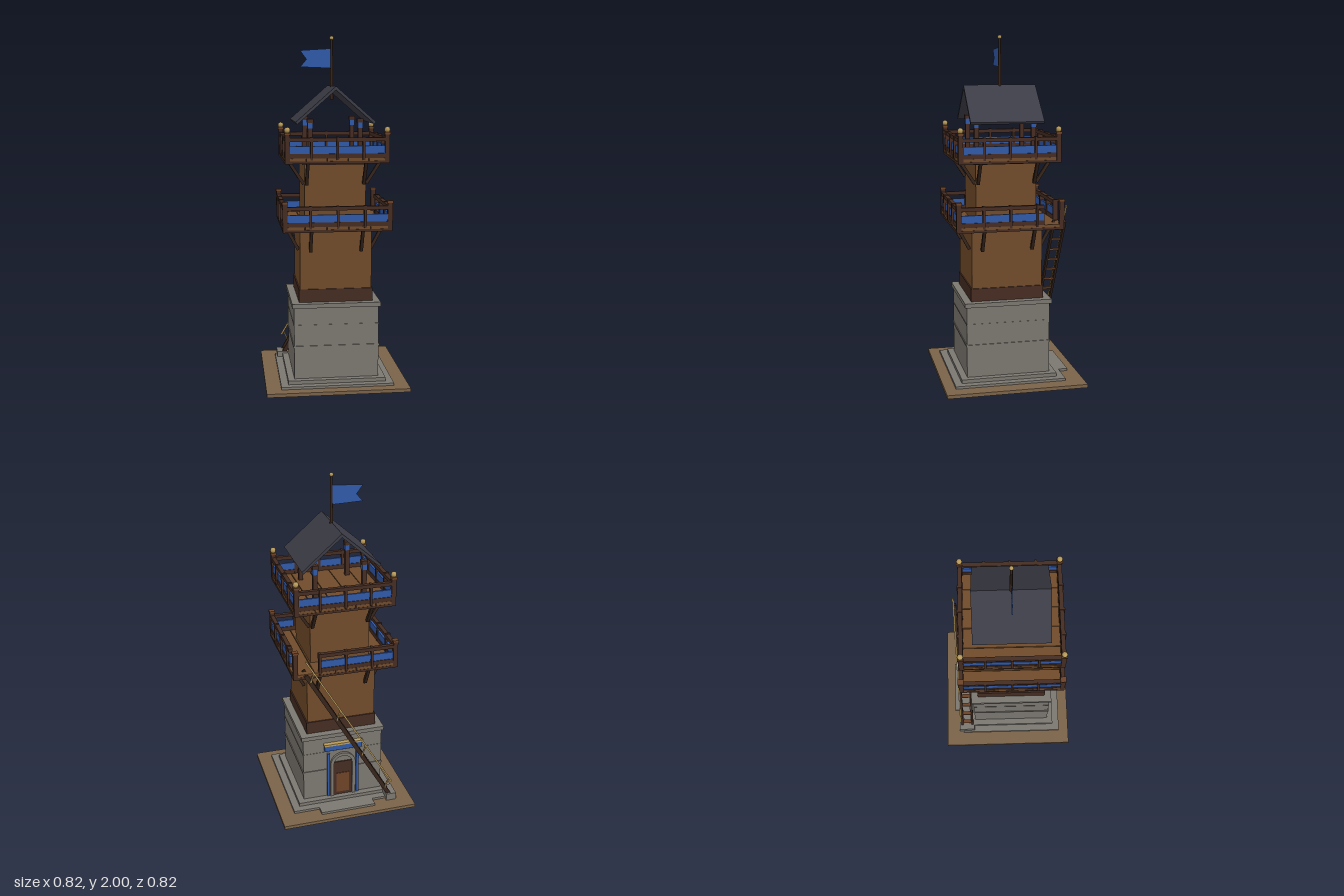
import * as THREE from 'three';

const mat = (name, color) => {
  const m = new THREE.MeshStandardMaterial({ color });
  m.name = name;
  return m;
};

export function createModel() {
  const earth = mat('earth', 0x7a6248), stone = mat('stone', 0x7b7770);
  const wall = mat('wallWood', 0x704b2a), dark = mat('darkWood', 0x452c22);
  const strutWood = mat('strutWood', 0x36241b), capWood = mat('capWood', 0x6d4328);
  const blue = mat('bluePaint', 0x3059a8), gold = mat('gold', 0xb89a5a);
  const slate = mat('slate', 0x3c3c47);

  const model = new THREE.Group();
  const tower = new THREE.Group();
  tower.name = 'tower';
  tower.position.z = 0.023;
  model.add(tower);

  const add = (parent, name, geo, m, x = 0, y = 0, z = 0) => {
    const o = new THREE.Mesh(geo, m);
    o.name = name;
    o.position.set(x, y, z);
    parent.add(o);
    return o;
  };
  // box given by its centre in x and z and its bottom and top in y
  const box = (parent, name, m, w, y0, y1, d, x = 0, z = 0) =>
    add(parent, name, new THREE.BoxGeometry(w, y1 - y0, d), m, x, (y0 + y1) / 2, z);
  // square bar running from a to b
  const beam = (parent, name, m, a, b, w, h = w) => {
    const p = new THREE.Vector3(...a), q = new THREE.Vector3(...b);
    const o = add(parent, name, new THREE.BoxGeometry(w, h, p.distanceTo(q)), m);
    o.position.copy(p).lerp(q, 0.5);
    const dir = q.clone().sub(p).normalize();
    o.lookAt(o.position.clone().add(dir));
    return o;
  };
  // four copies of a side, local +z facing outwards
  const fourSides = (name, build) => {
    for (let k = 0; k < 4; k++) {
      const g = new THREE.Group();
      g.name = name;
      build(g, k);
      g.rotation.y = k * Math.PI / 2;
      tower.add(g);
    }
  };

  // ground and stone base
  box(model, 'ground', earth, 0.817, 0, 0.02, 0.817);
  box(tower, 'lowerPlinth', stone, 0.645, 0.02, 0.034, 0.645);
  box(tower, 'upperPlinth', stone, 0.56, 0.034, 0.055, 0.56);
  box(tower, 'stoneWall', stone, 0.486, 0.055, 0.475, 0.486);
  box(tower, 'stoneBand', stone, 0.496, 0.238, 0.248, 0.496);
  box(tower, 'stoneBandUpper', stone, 0.49, 0.365, 0.371, 0.49);
  box(tower, 'stoneCap', stone, 0.508, 0.47, 0.495, 0.508);
  box(model, 'doorStep', stone, 0.334, 0.02, 0.034, 0.06, 0, -0.325);
  box(model, 'ladderFoot', stone, 0.062, 0.02, 0.065, 0.1, -0.281, -0.275);

  // timber storeys
  box(tower, 'sillBand', dark, 0.424, 0.495, 0.57, 0.424);
  box(tower, 'lowerStorey', wall, 0.41, 0.57, 0.92, 0.41);
  box(tower, 'upperStorey', wall, 0.35, 0.92, 1.3, 0.35);

  // galleries: deck, railings, corner posts and struts
  const gallery = (y, half, wallHalf, strutX, finials, openings) => {
    const h = half - 0.013;
    box(tower, 'deckFrame', dark, half * 2, y, y + 0.014, half * 2);
    const pw = half * 2 / 5;
    for (let i = -2; i <= 2; i++)
      box(tower, 'deckPlank', wall, pw - 0.004, y + 0.014, y + 0.03, half * 2 - 0.004, i * pw);

    fourSides('gallerySide', (g, k) => {
      const [a, b] = openings[k] || [-h, h];
      const len = b - a, mid = (a + b) / 2;
      box(g, 'kickBoard', dark, len, y + 0.028, y + 0.055, 0.02, mid, h);
      box(g, 'bluePanel', blue, len, y + 0.055, y + 0.097, 0.012, mid, h);
      box(g, 'handRail', dark, len, y + 0.122, y + 0.143, 0.024, mid, h);
      for (const t of [-0.5, 0, 0.5]) {
        const x = t * half;
        if (x >= a - 0.01 && x <= b + 0.01)
          box(g, 'railPost', dark, 0.013, y + 0.02, y + 0.147, 0.03, x, h + 0.003);
      }
      // corner post
      box(g, 'cornerPost', dark, 0.027, y + 0.012, y + 0.163, 0.027, h, h);
      box(g, 'postCap', capWood, 0.033, y + 0.16, y + 0.172, 0.033, h, h);
      if (finials)
        add(g, 'finial', new THREE.SphereGeometry(0.017, 8, 6), gold, h, y + 0.185, h);
      // diagonal struts
      for (const s of [-1, 1])
        beam(g, 'strut', strutWood, [s * strutX, y - 0.125, wallHalf + 0.004],
          [s * strutX, y + 0.003, half - 0.03], 0.018);
      box(g, 'ledger', dark, wallHalf * 2 + 0.02, y - 0.016, y, 0.012, 0, wallHalf + 0.004);
    });
  };
  gallery(0.915, 0.307, 0.205, 0.145, false, { 1: [-0.294, 0.193], 2: [-0.153, 0.294] });
  gallery(1.295, 0.291, 0.175, 0.163, true, {});

  // roof posts with painted bands
  for (const x of [-0.142, 0.142])
    for (const z of [-0.165, 0.165]) {
      box(tower, 'roofPost', dark, 0.026, 1.32, 1.52, 0.026, x, z);
      box(tower, 'roofPostBand', blue, 0.03, 1.483, 1.515, 0.03, x, z);
      box(tower, 'roofPostCap', dark, 0.036, 1.515, 1.537, 0.036, x, z);
    }

  // gable roof slabs
  const roof = new THREE.Shape([[0, 1.718], [0.226, 1.52], [0.217, 1.507], [0, 1.697],
    [-0.217, 1.507], [-0.226, 1.52]].map(p => new THREE.Vector2(...p)));
  add(tower, 'roof', new THREE.ExtrudeGeometry(roof, { depth: 0.422, bevelEnabled: false }),
    slate, 0, 0, -0.211);

  // flag pole and swallow-tailed flag
  add(tower, 'flagPole', new THREE.CylinderGeometry(0.007, 0.01, 0.345, 8), strutWood, 0, 1.8125, 0);
  add(tower, 'poleBall', new THREE.SphereGeometry(0.012, 8, 6), gold, 0, 1.988, 0);
  const flag = new THREE.Shape([[0, 1.818], [0, 1.93], [-0.182, 1.918], [-0.145, 1.868],
    [-0.182, 1.825]].map(p => new THREE.Vector2(...p)));
  add(tower, 'flag', new THREE.ExtrudeGeometry(flag, { depth: 0.005, bevelEnabled: false }),
    blue, 0, 0, -0.0025);

  // doorway on the back wall
  const door = new THREE.Group();
  door.name = 'doorway';
  door.rotation.y = Math.PI;
  door.position.z = -0.243;
  tower.add(door);
  const archPath = (P, r) => {
    const p = new P();
    p.moveTo(-r, 0.055);
    p.lineTo(r, 0.055);
    p.lineTo(r, 0.275);
    p.absarc(0, 0.275, r, 0, Math.PI, false);
    p.closePath();
    return p;
  };
  const arch = archPath(THREE.Shape, 0.078);
  arch.holes.push(archPath(THREE.Path, 0.058));
  add(door, 'doorArch', new THREE.ExtrudeGeometry(arch, { depth: 0.015, bevelEnabled: false, curveSegments: 10 }), stone);
  box(door, 'doorLeaf', dark, 0.114, 0.055, 0.29, 0.008, 0, 0.003);
  box(door, 'doorPanel', capWood, 0.08, 0.075, 0.21, 0.004, 0, 0.008);
  for (const s of [-1, 1])
    box(door, 'doorJamb', blue, 0.016, 0.06, 0.36, 0.018, s * 0.09, 0.006);
  box(door, 'doorLintel', blue, 0.23, 0.385, 0.42, 0.024, 0, 0.01);
  box(door, 'lintelTrim', gold, 0.24, 0.42, 0.432, 0.03, 0, 0.012);

  // leaning ladder with hand rail
  const ladder = new THREE.Group();
  ladder.name = 'ladder';
  const foot = [-0.272, 0.055], top = [0.243, 0.95];
  for (const z of [-0.24, -0.306])
    beam(ladder, 'stringer', strutWood, [...foot, z], [...top, z], 0.013, 0.024);
  for (let i = 0; i < 13; i++) {
    const t = (i + 0.3) / 13;
    box(ladder, 'rung', capWood, 0.022, 0.055 + t * 0.895 - 0.005, 0.055 + t * 0.895 + 0.005,
      0.066, foot[0] + t * 0.515, -0.273);
  }
  beam(ladder, 'handRail', gold, [-0.282, 0.15, -0.314], [0.243, 1.04, -0.314], 0.009);
  for (const t of [0.06, 0.35, 0.65, 0.95]) {
    const x = foot[0] + t * 0.515, y = 0.055 + t * 0.895;
    beam(ladder, 'railStay', gold, [x, y, -0.312], [x - 0.022, y + 0.06, -0.312], 0.007);
  }
  model.add(ladder);

  return model;
}
